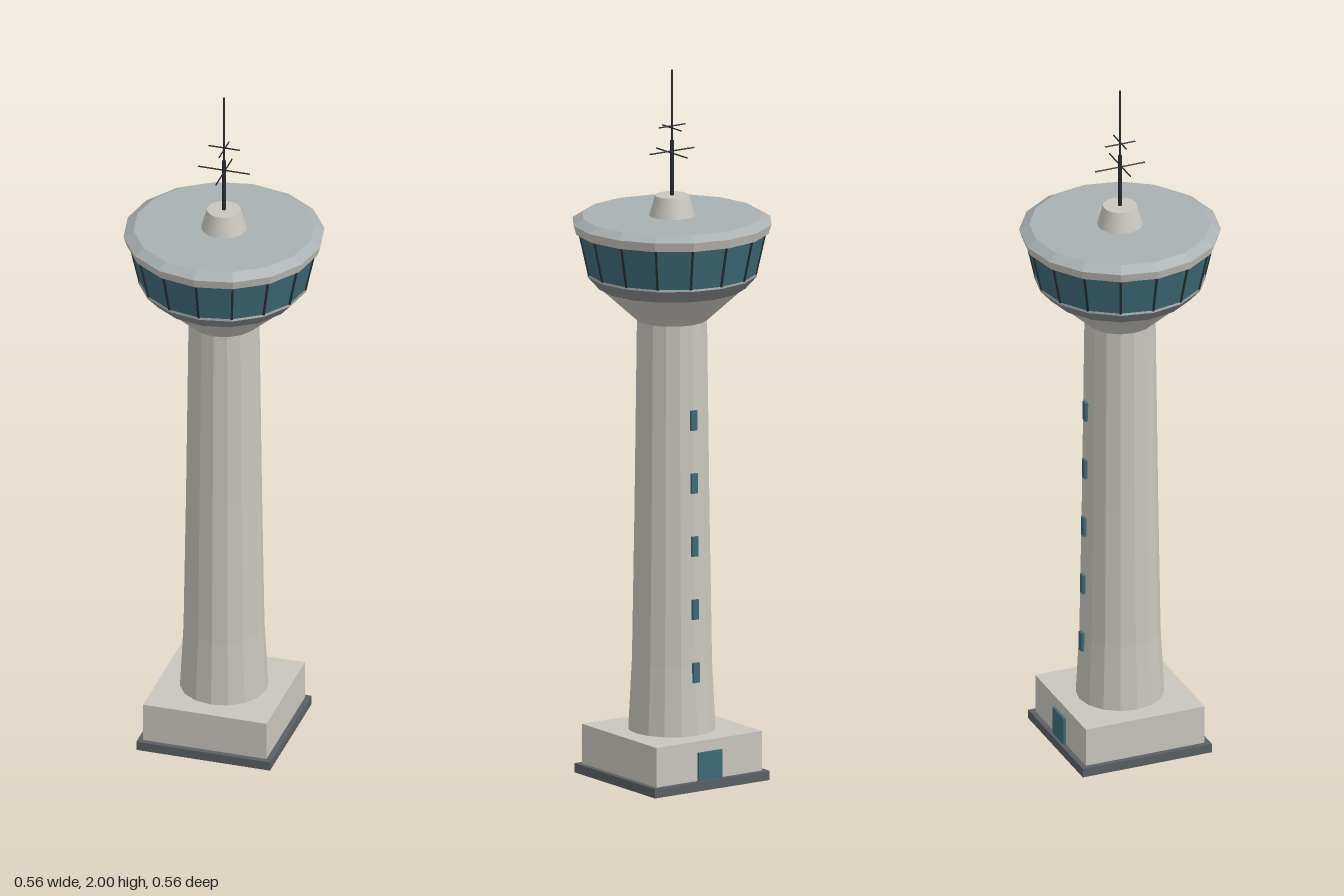
import * as THREE from 'three';

const SIDES = 16;
const mat = (name, color, side = THREE.FrontSide) => {
  const m = new THREE.MeshStandardMaterial({ color, side });
  m.name = name;
  return m;
};

export function createModel() {
  const tower = new THREE.Group();
  tower.name = 'controlTower';
  const concrete = mat('concrete', 0xc9c6be);
  const roofGrey = mat('roofGrey', 0xa9b0b2);
  const trimGrey = mat('trimGrey', 0x85898b);
  const slabGrey = mat('slabGrey', 0x5a6064);
  const glass = mat('glass', 0x3d6b77);
  const darkMetal = mat('darkMetal', 0x252c31);

  const add = (name, geometry, material, x = 0, y = 0, z = 0, parent = tower) => {
    const mesh = new THREE.Mesh(geometry, material);
    mesh.name = name;
    mesh.position.set(x, y, z);
    parent.add(mesh);
    return mesh;
  };
  const box = (name, w, h, d, m, x, y, z, parent) =>
    add(name, new THREE.BoxGeometry(w, h, d), m, x, y, z, parent);
  // Faceted solid of revolution from [radius, height] pairs, bottom to top
  const faceted = (name, points, m) => {
    const g = new THREE.LatheGeometry(points.map(([r, y]) => new THREE.Vector2(r, y)), SIDES).toNonIndexed();
    g.computeVertexNormals();
    return add(name, g, m);
  };
  const rod = (name, r, length, m, x, y, z, parent) =>
    add(name, new THREE.CylinderGeometry(r, r, length, 8), m, x, y, z, parent);

  // Base
  box('baseSlab', 0.386, 0.026, 0.386, slabGrey, 0, 0.013, 0);
  box('baseBuilding', 0.356, 0.112, 0.356, concrete, 0, 0.082, 0);
  box('door', 0.08, 0.08, 0.009, glass, 0, 0.066, -0.181);

  // Tapered shaft
  const shaft = [[0.122, 0.138], [0.112, 0.33], [0.105, 0.75], [0.098, 1.3]];
  faceted('shaft', shaft, concrete);
  const shaftRadius = (y) => {
    const i = shaft.findIndex((p) => p[1] > y);
    const [r0, y0] = shaft[i - 1], [r1, y1] = shaft[i];
    return r0 + (r1 - r0) * (y - y0) / (y1 - y0);
  };

  // Stair windows up the back
  const slits = new THREE.Group();
  slits.name = 'stairWindows';
  tower.add(slits);
  for (let i = 0; i < 5; i++) {
    const y = 0.315 + i * 0.178;
    box('stairWindow', 0.02, 0.056, 0.009, glass, 0, y, -shaftRadius(y) - 0.002, slits);
  }

  // Flared head
  faceted('flare', [[0.098, 1.295], [0.2, 1.388]], concrete);
  faceted('sillRing', [[0.19, 1.388], [0.205, 1.388], [0.238, 1.425], [0.232, 1.432], [0, 1.432]], trimGrey);
  faceted('cabGlass', [[0.234, 1.43], [0.26, 1.546]], glass);

  // Mullions at every corner of the cab
  const mullions = new THREE.Group();
  mullions.name = 'mullions';
  tower.add(mullions);
  for (let i = 0; i < SIDES; i++) {
    const spoke = new THREE.Group();
    spoke.name = 'mullionSpoke';
    spoke.rotation.y = (i / SIDES) * Math.PI * 2;
    mullions.add(spoke);
    const bar = box('mullion', 0.006, 0.119, 0.006, darkMetal, 0, 1.488, 0.247, spoke);
    bar.rotation.x = Math.atan2(0.026, 0.116);
  }

  // Roof
  faceted('roofRim', [[0, 1.546], [0.27, 1.546], [0.278, 1.572]], concrete);
  faceted('roof', [[0.278, 1.572], [0.25, 1.589], [0, 1.589]], roofGrey);
  add('roofHousing', new THREE.CylinderGeometry(0.047, 0.063, 0.057, 32), concrete, 0, 1.617, 0);

  // Mast with two pairs of crossed bars
  rod('mastLower', 0.0055, 0.155, darkMetal, 0, 1.7225, 0);
  rod('mastUpper', 0.003, 0.2, darkMetal, 0, 1.9, 0);
  for (const [y, half] of [[1.767, 0.074], [1.838, 0.045]]) {
    rod('crossBarX', 0.002, half * 2, darkMetal, 0, y + 0.003, 0).rotation.z = Math.PI / 2;
    rod('crossBarZ', 0.002, half * 2, darkMetal, 0, y - 0.003, 0).rotation.x = Math.PI / 2;
  }
  return tower;
}
